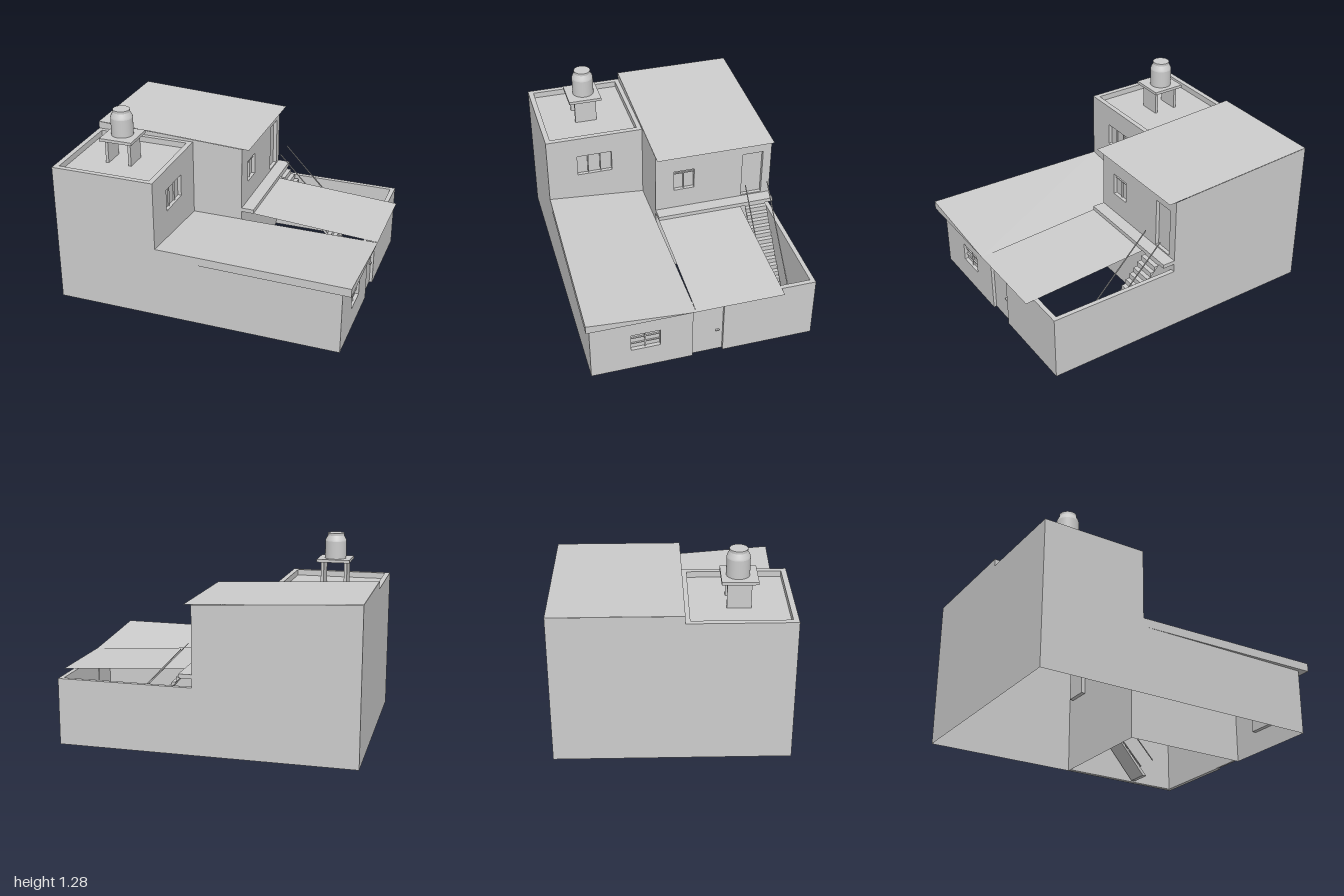
import * as THREE from 'three';

export function createModel() {
  const house = new THREE.Group();
  const plaster = new THREE.MeshStandardMaterial({ color: 0xcccccc, side: THREE.DoubleSide });
  plaster.name = 'plaster';

  const add = (name, geometry, parent = house) => {
    const mesh = new THREE.Mesh(geometry, plaster);
    mesh.name = name;
    parent.add(mesh);
    return mesh;
  };
  // Box given by its limits
  const box = (name, x0, x1, y0, y1, z0, z1, parent) => add(name,
    new THREE.BoxGeometry(x1 - x0, y1 - y0, z1 - z0)
      .translate((x0 + x1) / 2, (y0 + y1) / 2, (z0 + z1) / 2), parent);
  const outline = (pts) => pts.map(([a, b]) => new THREE.Vector2(a, b));
  const rect = (a0, a1, b0, b1) => outline([[a0, b0], [a1, b0], [a1, b1], [a0, b1]]);
  const shapeOf = (pts, holes = []) => {
    const shape = new THREE.Shape(outline(pts));
    holes.forEach((h) => shape.holes.push(new THREE.Path(rect(...h))));
    return shape;
  };
  // Wall across z, points are [x, y]
  const wallZ = (name, z, pts) => add(name, new THREE.ShapeGeometry(shapeOf(pts)).translate(0, 0, z));
  // Wall across x, points are [z, y]
  const wallX = (name, x, pts, holes) => add(name,
    new THREE.ShapeGeometry(shapeOf(pts, holes)).rotateY(-Math.PI / 2).translate(x, 0, 0));
  // Thin four-cornered sheet
  const sheet = (name, corners) => {
    const g = new THREE.BufferGeometry();
    g.setAttribute('position', new THREE.Float32BufferAttribute(corners.flat(), 3));
    g.setIndex([0, 1, 2, 0, 2, 3]);
    g.computeVertexNormals();
    return add(name, g);
  };

  // Window or door set into a wall across x: frame, recessed pane and bars
  const fitting = (name, x, [z0, z1, y0, y1], uprights, rails) => {
    const g = new THREE.Group();
    g.name = name;
    house.add(g);
    const w = 0.009;
    const ring = shapeOf([[z0, y0], [z1, y0], [z1, y1], [z0, y1]],
      [[z0 + w, z1 - w, y0 + w, y1 - w]]);
    add(name + 'Frame', new THREE.ExtrudeGeometry(ring, { depth: 0.03, bevelEnabled: false })
      .rotateY(-Math.PI / 2).translate(x, 0, 0), g);
    box(name + 'Pane', x - 0.03, x - 0.025, y0 + w, y1 - w, z0 + w, z1 - w, g);
    uprights.forEach(([z, top]) => box(name + 'Upright', x - 0.025, x - 0.015, y0 + w, top, z - 0.004, z + 0.004, g));
    rails.forEach((y) => box(name + 'Rail', x - 0.025, x - 0.015, y - 0.003, y + 0.003, z0 + w, z1 - w, g));
  };

  const towerWindow = [0.27, 0.53, 0.66, 0.83];
  const upperWindow = [-0.22, -0.06, 0.66, 0.83];
  const upperDoor = [-0.71, -0.545, 0.525, 0.88];
  const lowerWindow = [0.265, 0.475, 0.15, 0.295];

  // Hollow shell of the house, open underneath
  wallZ('frontWall', 0.73, [[-1, 0], [0.94, 0], [0.94, 0.44], [-0.3, 0.44], [-0.3, 0.925], [-1, 0.925]]);
  wallZ('backWall', -0.76, [[-1, 0], [0.05, 0], [0.05, 0.965], [-1, 1.015]]);
  wallZ('upperFrontWall', 0.06, [[-1, 0.925], [-0.3, 0.925], [-0.3, 0.44], [0.05, 0.44], [0.05, 0.965], [-1, 1.015]]);
  wallZ('courtSideWall', 0.06, [[0.05, 0], [0.94, 0], [0.94, 0.44], [0.05, 0.44]]);
  wallX('outerSideWall', -1, [[-0.76, 0], [0.73, 0], [0.73, 0.925], [0.06, 0.925], [0.06, 1.015], [-0.76, 1.015]]);
  wallX('upperSideWall', 0.05, [[-0.76, 0], [0.06, 0], [0.06, 0.965], [-0.76, 0.965]], [upperWindow, upperDoor]);
  wallX('towerSideWall', -0.3, [[0.06, 0.44], [0.73, 0.44], [0.73, 0.925], [0.06, 0.925]], [towerWindow]);
  wallX('wingEndWall', 0.94, [[0.06, 0], [0.73, 0], [0.73, 0.44], [0.06, 0.44]], [lowerWindow]);

  fitting('towerWindow', -0.3, towerWindow, [[0.357, 0.821], [0.443, 0.821]], []);
  fitting('upperWindow', 0.05, upperWindow, [[-0.14, 0.79]], [0.793]);
  fitting('upperDoor', 0.05, upperDoor, [], []);
  fitting('lowerWindow', 0.94, lowerWindow, [[0.37, 0.286]], [0.2, 0.245]);

  // Pitched upper roof
  sheet('upperRoof', [[-1, 1.016, 0.06], [0.1, 0.964, 0.06], [0.1, 0.964, -0.76], [-1, 1.016, -0.76]]);

  // Wedge roof of the front wing, its front edge flaring outward
  const wedge = new THREE.ExtrudeGeometry(shapeOf([[0.06, 0.44], [0.73, 0.44], [0.73, 0.497]]),
    { depth: 1.3, bevelEnabled: false }).rotateY(-Math.PI / 2).translate(1, 0, 0);
  const p = wedge.attributes.position;
  for (let i = 0; i < p.count; i++) {
    if (p.getZ(i) > 0.5 && p.getX(i) > 0.5) p.setZ(i, 0.76);
  }
  wedge.computeVertexNormals();
  add('wingRoof', wedge);

  // Tower parapet and sunken floor
  const parapet = shapeOf([[-1, -0.73], [-0.3, -0.73], [-0.3, -0.06], [-1, -0.06]],
    [[-0.965, -0.335, -0.695, -0.09]]);
  add('parapet', new THREE.ExtrudeGeometry(parapet, { depth: 0.04, bevelEnabled: false })
    .rotateX(-Math.PI / 2).translate(0, 0.925, 0));
  sheet('towerFloor', [[-1, 0.925, 0.73], [-0.3, 0.925, 0.73], [-0.3, 0.925, 0.06], [-1, 0.925, 0.06]]);

  // Water tank on its stand
  box('tankSlab', -0.765, -0.54, 1.09, 1.11, 0.285, 0.51);
  for (const x of [-0.735, -0.575]) box('tankLeg', x - 0.01, x + 0.01, 0.925, 1.09, 0.32, 0.47);
  const tank = [[[0.073, 1.11], [0.073, 1.23]], [[0.073, 1.23], [0.07, 1.242], [0.056, 1.268]],
    [[0.056, 1.268], [0.056, 1.285]], [[0.056, 1.285], [0, 1.285]]];
  for (const part of tank) {
    add('waterTank', new THREE.LatheGeometry(outline(part), 32).translate(-0.655, 0, 0.39));
  }

  // Courtyard walls, street door and sloping canopy
  box('courtBackWall', 0.05, 0.94, 0, 0.44, -0.76, -0.73);
  box('courtEndWall', 0.91, 0.94, 0, 0.44, -0.73, -0.145);
  box('streetDoor', 0.905, 0.92, 0, 0.35, -0.145, 0.06);
  box('doorTransom', 0.905, 0.923, 0.35, 0.44, -0.145, 0.06);
  box('doorHandle', 0.92, 0.932, 0.168, 0.176, -0.122, -0.098);
  sheet('canopy', [[0.13, 0.498, 0.06], [1, 0.441, 0.06], [1, 0.441, -0.525], [0.13, 0.498, -0.525]]);

  // Landing and stairs
  box('landing', 0.05, 0.135, 0.498, 0.525, -0.76, 0.06);
  const steps = 15, run = 0.03, rise = 0.035;
  const saw = [[0.135, 0.525]];
  for (let i = 1; i <= steps; i++) {
    const x = 0.135 + i * run;
    saw.push([x - run, 0.525 - i * rise], [x, 0.525 - i * rise]);
  }
  saw.push([0.555, 0], [0.135, 0.49]);
  add('stairs', new THREE.ExtrudeGeometry(shapeOf(saw), { depth: 0.15, bevelEnabled: false })
    .translate(0, 0, -0.707));

  // Slanted handrails
  for (const z of [-0.711, -0.554]) {
    const rail = shapeOf([[0.13, 0.675], [0.13, 0.667], [0.64, 0.126], [0.645, 0.13]]);
    add('handrail', new THREE.ExtrudeGeometry(rail, { depth: 0.006, bevelEnabled: false })
      .translate(0, 0, z - 0.003));
  }
  return house;
}
